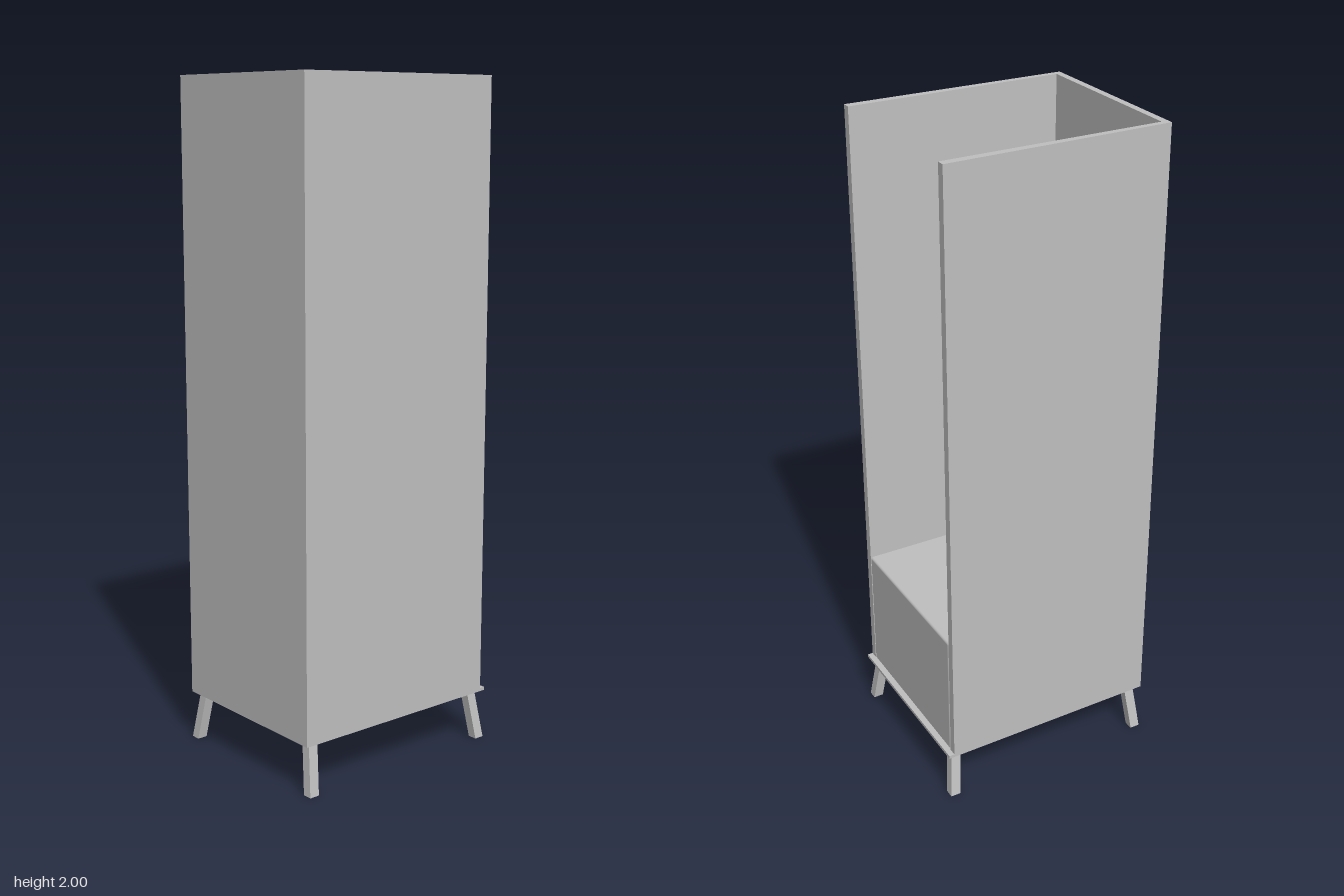
import * as THREE from 'three';
import { RoundedBoxGeometry } from 'three/addons/geometries/RoundedBoxGeometry.js';

const grey = new THREE.MeshStandardMaterial({ color: 0xc0c0c0 });
grey.name = 'light grey';

// Extrudes a floor-plan outline of [x, z] points upward from y0 to y1
function planExtrude(points, y0, y1) {
  const shape = new THREE.Shape(points.map(([x, z]) => new THREE.Vector2(x, z)));
  const geo = new THREE.ExtrudeGeometry(shape, { depth: y1 - y0, bevelEnabled: false });
  geo.rotateX(Math.PI / 2);
  geo.translate(0, y1, 0);
  return geo;
}

// Square leg whose foot is shifted outward from its top
function legGeometry(sx, sz) {
  const geo = new THREE.BoxGeometry(0.031, 0.15, 0.029);
  const p = geo.attributes.position;
  for (let i = 0; i < p.count; i++) {
    const top = p.getY(i) > 0;
    p.setX(i, p.getX(i) + sx * (top ? 0.312 : 0.328));
    p.setZ(i, p.getZ(i) + sz * (top ? 0.249 : 0.275));
    p.setY(i, top ? 0.152 : 0);
  }
  geo.computeVertexNormals();
  return geo;
}

export function createModel() {
  const model = new THREE.Group();
  model.name = 'openCabinet';
  const add = (name, geo) => {
    const mesh = new THREE.Mesh(geo, grey);
    mesh.name = name;
    model.add(mesh);
  };

  // Base plate, slightly wider towards the open side
  add('basePlate', planExtrude(
    [[-0.348, -0.282], [0.347, -0.289], [0.347, 0.288], [-0.348, 0.281]], 0.15, 0.16));

  // Three walls in one U-shaped plan, open towards +x
  add('walls', planExtrude([
    [-0.348, -0.282], [0.33, -0.289], [0.33, -0.265], [-0.327, -0.265],
    [-0.327, 0.263], [0.33, 0.263], [0.33, 0.288], [-0.348, 0.281],
  ], 0.16, 2));

  // Inner block with softened edges, set against the front wall
  const block = new RoundedBoxGeometry(0.651, 0.397, 0.533, 3, 0.008);
  block.translate(0.0025, 0.3515, 0.0065);
  add('innerBlock', block);

  // Four splayed legs
  for (const sx of [-1, 1]) {
    for (const sz of [-1, 1]) {
      add((sz > 0 ? 'front' : 'back') + (sx > 0 ? 'Left' : 'Right') + 'Leg', legGeometry(sx, sz));
    }
  }
  return model;
}
